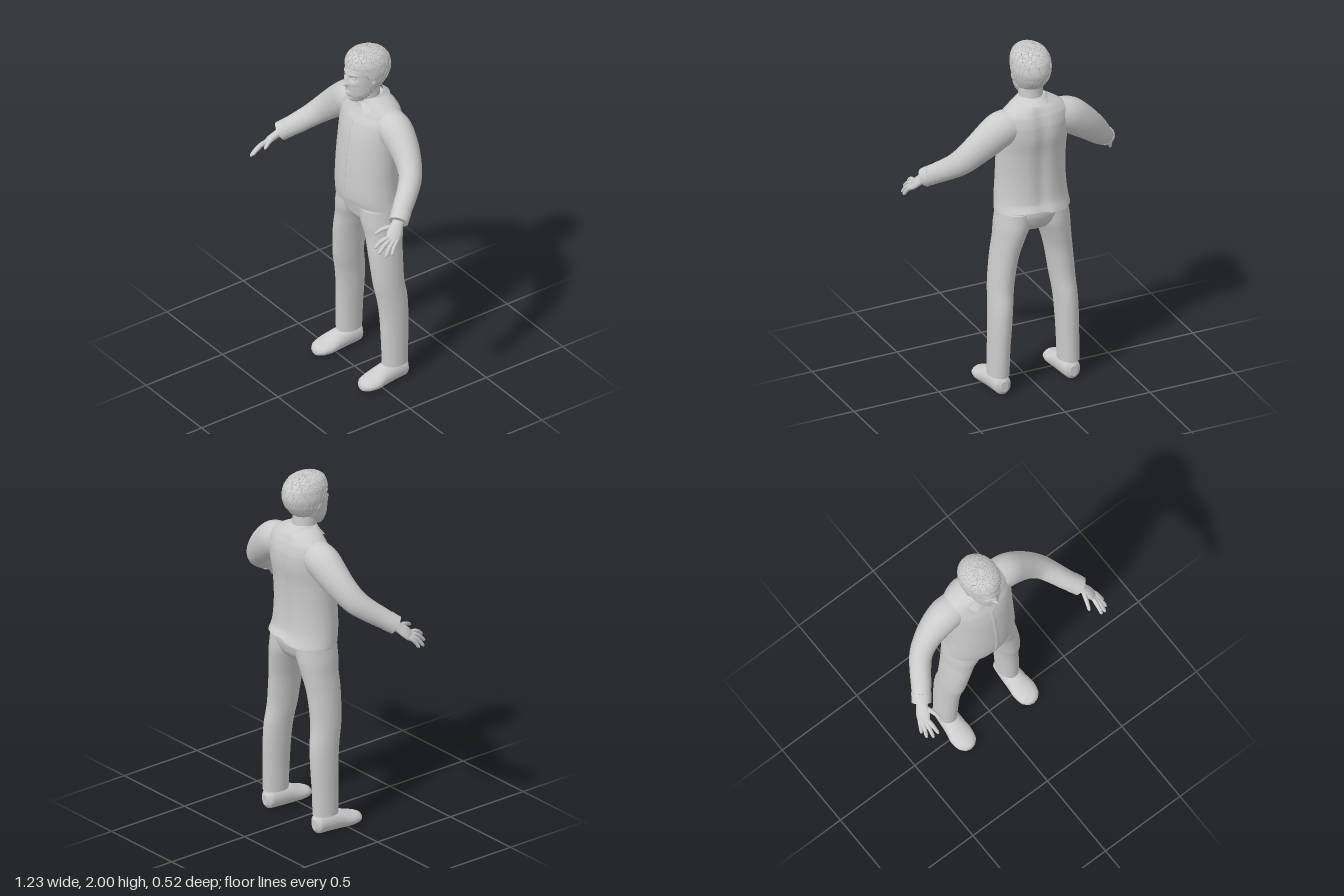
import * as THREE from 'three';
import { mergeGeometries } from 'three/addons/utils/BufferGeometryUtils.js';

const clay = new THREE.MeshStandardMaterial({ color: 0xcccccc, side: THREE.DoubleSide });
clay.name = 'light grey';
const X = new THREE.Vector3(1, 0, 0), Y = new THREE.Vector3(0, 1, 0), Z = new THREE.Vector3(0, 0, 1);

// Smooth skin over elliptical sections, each key = [x, y, z, radiusU, radiusV].
// U follows ref; axis fixes the section normal, otherwise it follows the path.
function loft(keys, { ref = X, axis = null, seg = 32, steps = 40, warp = null } = {}) {
  const path = new THREE.CatmullRomCurve3(keys.map(k => new THREE.Vector3(k[0], k[1], k[2])));
  const size = new THREE.CatmullRomCurve3(keys.map(k => new THREE.Vector3(k[3], k[4], 0)));
  const pos = [], idx = [];
  for (let i = 0; i <= steps; i++) {
    const t = i / steps, c = path.getPoint(t), r = size.getPoint(t);
    const T = axis || path.getTangent(t);
    const U = ref.clone().addScaledVector(T, -ref.dot(T)).normalize();
    const V = new THREE.Vector3().crossVectors(T, U);
    for (let j = 0; j < seg; j++) {
      const a = j / seg * Math.PI * 2;
      const p = c.clone().addScaledVector(U, Math.max(r.x, 0.001) * Math.cos(a))
        .addScaledVector(V, Math.max(r.y, 0.001) * Math.sin(a));
      if (warp) warp(p);
      pos.push(p.x, p.y, p.z);
    }
  }
  for (let i = 0; i < steps; i++) for (let j = 0; j < seg; j++) {
    const k = (j + 1) % seg, a = i * seg + j, b = i * seg + k;
    idx.push(a, b, b + seg, a, b + seg, a + seg);
  }
  // Flat end caps with their own corners
  for (const row of [0, steps]) {
    const base = pos.length / 3, mid = [0, 0, 0];
    for (let j = 0; j < seg; j++) for (let m = 0; m < 3; m++) {
      const v = pos[(row * seg + j) * 3 + m];
      pos.push(v);
      mid[m] += v / seg;
    }
    pos.push(...mid);
    for (let j = 0; j < seg; j++) {
      const k = base + (j + 1) % seg;
      row ? idx.push(base + seg, base + j, k) : idx.push(base + seg, k, base + j);
    }
  }
  return finish(pos, idx);
}

function finish(pos, idx) {
  const g = new THREE.BufferGeometry();
  g.setAttribute('position', new THREE.Float32BufferAttribute(pos, 3));
  g.setIndex(idx);
  g.computeVertexNormals();
  return g;
}

function mirror(geo) {
  const g = geo.clone().scale(-1, 1, 1), a = g.index.array;
  for (let i = 0; i < a.length; i += 3) [a[i], a[i + 1]] = [a[i + 1], a[i]];
  g.computeVertexNormals();
  return g;
}

const vertex = (g, i) => new THREE.Vector3().fromBufferAttribute(g.attributes.position, i);

export function createModel() {
  const model = new THREE.Group();
  const add = (name, geo) => {
    const m = new THREE.Mesh(geo, clay);
    m.name = name;
    model.add(m);
  };
  const pair = (name, geo) => { add('left' + name, geo); add('right' + name, mirror(geo)); };

  // Shirt, with a gently waved hem and a hollow down the spine
  const torso = loft([
    [0, 1.068, -0.1, 0.212, 0.16], [0, 1.12, -0.085, 0.205, 0.153], [0, 1.25, -0.08, 0.196, 0.148],
    [0, 1.4, -0.09, 0.195, 0.145], [0, 1.5, -0.105, 0.2, 0.145], [0, 1.58, -0.117, 0.205, 0.133],
    [0, 1.64, -0.125, 0.19, 0.11], [0, 1.68, -0.12, 0.14, 0.095], [0, 1.715, -0.105, 0.075, 0.075],
  ], {
    axis: Y, seg: 64, steps: 64, warp: p => {
      if (p.z < -0.1) p.z += 0.014 * Math.exp(-((p.x / 0.04) ** 2));
      if (p.y < 1.12) p.y += (1.12 - p.y) * 0.3 * Math.sin(p.x * 14 + 0.6);
    },
  });
  add('shirt', torso);

  // Button placket follows the middle of the shirt front
  const front = [];
  for (let i = 1; i <= 64; i += 3) {
    const p = vertex(torso, i * 64 + 48);
    if (p.y < 1.59) front.push([p.x, p.y, p.z, 0.012, 0.003]);
  }
  add('placket', loft(front, { axis: Y, seg: 12 }));

  // Folded collar, open at the front with two points
  const cp = [], ci = [], n = 48;
  for (let i = 0; i <= n; i++) {
    const a = 0.35 + i / n * (Math.PI * 2 - 0.7), s = Math.sin(a), c = Math.cos(a);
    const f = Math.abs(Math.cos(a / 2)) ** 6;
    cp.push(s * 0.072, 1.725 - 0.045 * f, -0.095 + c * 0.078);
    cp.push(s * 0.095 + Math.sign(s) * 0.045 * f, 1.695 - 0.06 * f, -0.105 + c * 0.108);
    const k = i * 2;
    if (i < n) ci.push(k, k + 1, k + 3, k, k + 3, k + 2);
  }
  add('collar', finish(cp, ci));

  // Sleeves and cuffs
  pair('Sleeve', loft([
    [0.12, 1.585, -0.125, 0.085, 0.085], [0.2, 1.56, -0.125, 0.098, 0.09], [0.27, 1.51, -0.12, 0.092, 0.082],
    [0.34, 1.45, -0.105, 0.08, 0.07], [0.4, 1.39, -0.075, 0.07, 0.062], [0.44, 1.345, -0.03, 0.062, 0.058],
    [0.485, 1.295, 0.035, 0.056, 0.054], [0.53, 1.25, 0.095, 0.049, 0.049],
  ], { ref: Y }));
  pair('Cuff', loft([[0.505, 1.275, 0.062, 0.054, 0.054], [0.533, 1.247, 0.099, 0.052, 0.052]],
    { ref: Y, steps: 4 }));

  // Palm, four fingers and thumb
  const across = new THREE.Vector3(-0.03, 0.015, 0.045);
  pair('Palm', loft([
    [0.515, 1.27, 0.07, 0.032, 0.026], [0.537, 1.235, 0.11, 0.033, 0.022],
    [0.556, 1.205, 0.142, 0.04, 0.02], [0.57, 1.18, 0.164, 0.037, 0.015], [0.576, 1.171, 0.171, 0.028, 0.008],
  ], { ref: across, seg: 20, steps: 20 }));
  const fingers = {
    LittleFinger: [[0.582, 1.175, 0.146], [0.61, 1.112, 0.198]],
    RingFinger: [[0.578, 1.177, 0.164], [0.602, 1.108, 0.235]],
    MiddleFinger: [[0.568, 1.182, 0.178], [0.576, 1.125, 0.262]],
    IndexFinger: [[0.556, 1.19, 0.186], [0.548, 1.15, 0.267]],
    Thumb: [[0.53, 1.228, 0.13], [0.496, 1.2, 0.228]],
  };
  for (const [name, [a, b]] of Object.entries(fingers)) {
    const keys = [[-0.15, 0.012], [0.25, 0.0125], [0.6, 0.011], [0.88, 0.0095], [0.97, 0.006], [1, 0.001]]
      .map(([t, r]) => [...a.map((v, m) => v + (b[m] - v) * t + (m === 1 ? 0.012 * Math.sin(Math.PI * t) : 0)), r, r]);
    pair(name, loft(keys, { ref: across, seg: 12, steps: 15 }));
  }

  // Trousers
  add('trouserSeat', loft([
    [0, 0.95, -0.095, 0.13, 0.085], [0, 0.99, -0.095, 0.185, 0.115],
    [0, 1.04, -0.097, 0.203, 0.128], [0, 1.1, -0.09, 0.198, 0.135],
  ], { axis: Y, steps: 16, seg: 40 }));
  pair('TrouserLeg', loft([
    [0.207, 0.1, -0.115, 0.057, 0.076], [0.203, 0.25, -0.115, 0.058, 0.08], [0.196, 0.4, -0.115, 0.061, 0.085],
    [0.19, 0.5, -0.108, 0.063, 0.089], [0.181, 0.6, -0.092, 0.067, 0.091], [0.17, 0.7, -0.088, 0.07, 0.096],
    [0.155, 0.8, -0.088, 0.074, 0.102], [0.133, 0.9, -0.095, 0.084, 0.11],
    [0.113, 0.98, -0.095, 0.098, 0.12], [0.1, 1.06, -0.095, 0.1, 0.12],
  ], { axis: Y }));

  // Shoes, flattened on the ground
  pair('Shoe', loft([
    [0.205, 0.05, -0.192, 0.02, 0.03], [0.205, 0.052, -0.172, 0.046, 0.054], [0.205, 0.054, -0.1, 0.055, 0.06],
    [0.207, 0.046, -0.03, 0.06, 0.055], [0.21, 0.034, 0.03, 0.067, 0.042], [0.21, 0.028, 0.08, 0.057, 0.033],
    [0.21, 0.024, 0.108, 0.03, 0.022], [0.21, 0.023, 0.115, 0.006, 0.008],
  ], { axis: Z, warp: p => { p.y = Math.max(p.y, 0); } }));

  // Neck, and a head shaped by soft bumps [x, y, width, height, depth]
  add('neck', loft([[0, 1.62, -0.11, 0.066, 0.066], [0, 1.7, -0.09, 0.066, 0.066], [0, 1.79, -0.08, 0.066, 0.07]],
    { axis: Y }));
  const bumps = [
    [0, 1.823, 0.015, 0.013, 0.026], [0, 1.85, 0.01, 0.022, 0.014],
    [0, 1.767, 0.02, 0.006, 0.008], [0, 1.753, 0.018, 0.006, 0.007], [0, 1.72, 0.022, 0.012, 0.007],
  ];
  for (const s of [-1, 1]) bumps.push([s * 0.034, 1.862, 0.016, 0.011, -0.011],
    [s * 0.034, 1.884, 0.022, 0.008, 0.006], [s * 0.045, 1.83, 0.016, 0.015, 0.005]);
  const head = loft([
    [0, 1.695, -0.02, 0.02, 0.03], [0, 1.705, -0.025, 0.038, 0.05], [0, 1.725, -0.035, 0.056, 0.07],
    [0, 1.755, -0.045, 0.072, 0.09], [0, 1.8, -0.06, 0.081, 0.11], [0, 1.85, -0.07, 0.086, 0.119],
    [0, 1.9, -0.075, 0.089, 0.121], [0, 1.94, -0.08, 0.084, 0.111], [0, 1.968, -0.08, 0.062, 0.085],
    [0, 1.985, -0.08, 0.02, 0.03],
  ], {
    axis: Y, seg: 96, steps: 100, warp: p => {
      if (p.z < -0.03) return;
      for (const [x, y, w, h, d] of bumps) p.z += d * Math.exp(-(((p.x - x) / w) ** 2) - ((p.y - y) / h) ** 2);
    },
  });
  add('head', head);
  pair('Eye', new THREE.SphereGeometry(0.013, 20, 14).translate(0.034, 1.862, 0.023));
  pair('Ear', new THREE.SphereGeometry(1, 20, 16).scale(0.012, 0.031, 0.02).rotateY(0.3).translate(0.089, 1.835, -0.07));

  // Hair cap lifted to a hairline that rises towards the forehead
  const hair = loft([
    [0, 1.768, -0.09, 0.05, 0.05], [0, 1.775, -0.085, 0.074, 0.08], [0, 1.83, -0.085, 0.098, 0.121],
    [0, 1.88, -0.088, 0.106, 0.131], [0, 1.93, -0.083, 0.102, 0.127], [0, 1.97, -0.075, 0.083, 0.102],
    [0, 1.99, -0.07, 0.052, 0.066], [0, 1.997, -0.07, 0.012, 0.016],
  ], {
    axis: Y, seg: 72, steps: 56, warp: p => {
      const line = p.z > -0.04 ? 1.85 + 0.068 * Math.min(1, (p.z + 0.04) / 0.05)
        : 1.768 + 0.082 * THREE.MathUtils.smoothstep(p.z, -0.13, -0.04);
      p.y = Math.max(p.y, line);
    },
  });
  add('hairCap', hair);

  // Loose strands running down from the crown and round the cap
  const strands = [];
  const strand = (pts, closed) => strands.push(
    new THREE.TubeGeometry(new THREE.CatmullRomCurve3(pts, closed), 30, 0.0016, 4, closed));
  for (let j = 0; j < 72; j += 2) {
    const pts = [];
    for (let i = 55; i > 12; i -= 3) {
      const p = vertex(hair, i * 72 + (j + Math.round(Math.sin(i * 0.4 + j))+ 72) % 72);
      if (!pts.length || p.distanceTo(pts[pts.length - 1]) > 0.006) pts.push(p);
    }
    strand(pts, false);
  }
  for (let i = 34; i < 54; i += 4) {
    const pts = [];
    for (let j = 0; j < 72; j += 3) pts.push(vertex(hair, (i + j % 2) * 72 + j));
    strand(pts, true);
  }
  add('hairStrands', mergeGeometries(strands));

  // Short stubble over the jaw and chin
  const stubble = [];
  for (let i = 8; i < 46; i += 3) for (let j = i % 5; j < 96; j += 4) {
    const p = vertex(head, i * 96 + j);
    const mouth = Math.abs(p.x) < 0.028 && p.y > 1.745;
    if (p.z > -0.075 && p.y < 1.745 + Math.abs(p.x) * 0.9 && !mouth)
      stubble.push(new THREE.ConeGeometry(0.0018, 0.01, 4).rotateX(2.3).translate(p.x, p.y, p.z));
  }
  add('stubble', mergeGeometries(stubble));

  return model;
}
